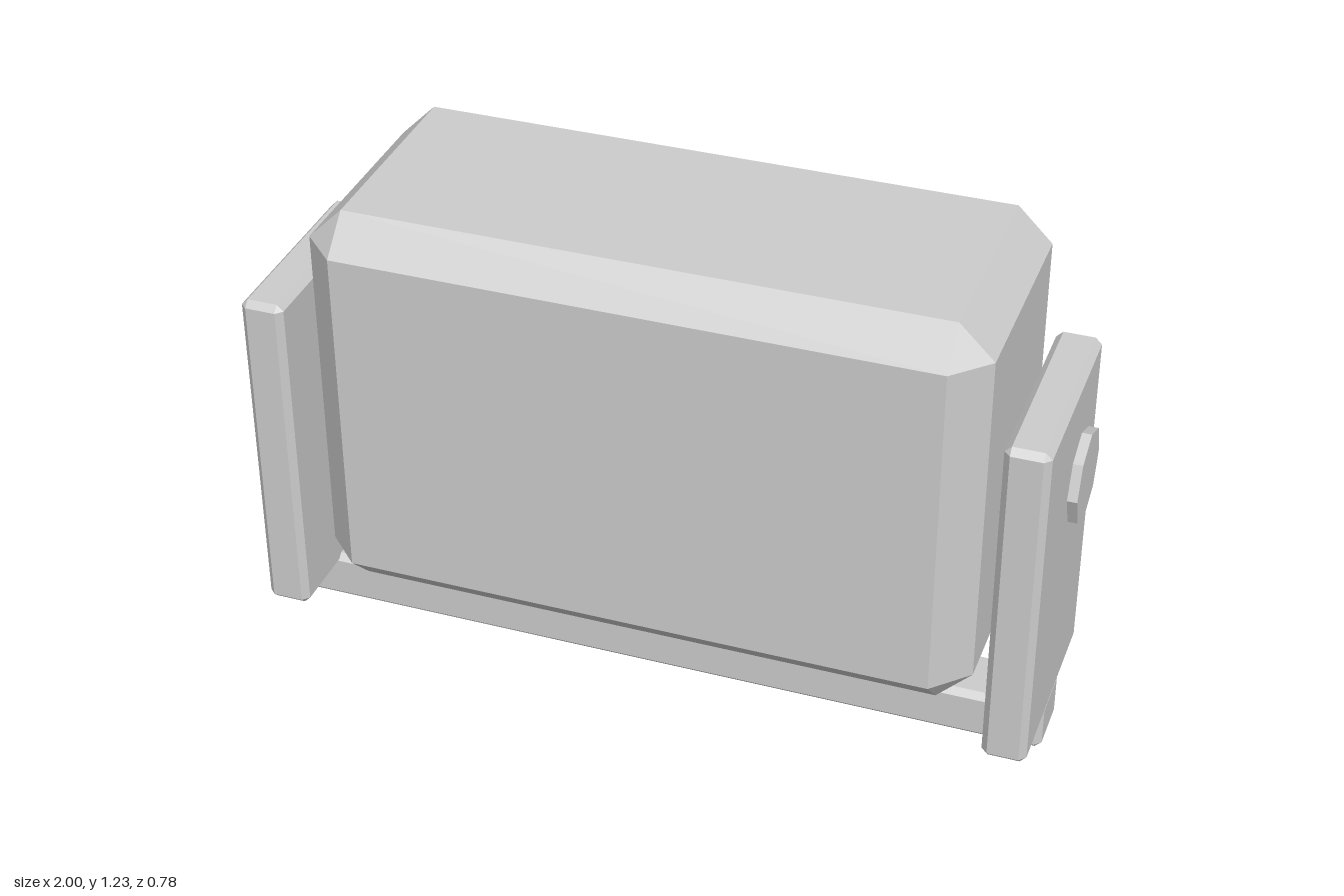
import * as THREE from 'three';
import { ConvexGeometry } from 'three/addons/geometries/ConvexGeometry.js';

// Box between two corners with every edge cut by a flat chamfer c
function chamferBox([x0, y0, z0], [x1, y1, z1], c) {
  const h = [(x1 - x0) / 2, (y1 - y0) / 2, (z1 - z0) / 2];
  const points = [];
  for (const sx of [-1, 1]) for (const sy of [-1, 1]) for (const sz of [-1, 1]) {
    for (let axis = 0; axis < 3; axis++) {
      const p = h.map((v, i) => (i === axis ? v : v - c));
      points.push(new THREE.Vector3(sx * p[0], sy * p[1], sz * p[2]));
    }
  }
  const geometry = new ConvexGeometry(points);
  geometry.translate((x0 + x1) / 2, (y0 + y1) / 2, (z0 + z1) / 2);
  return geometry;
}

export function createModel() {
  const model = new THREE.Group();
  model.name = 'floodlight';
  const grey = new THREE.MeshStandardMaterial({ color: 0xcccccc, flatShading: true });
  grey.name = 'light grey';

  const add = (name, geometry, x = 0, y = 0, z = 0) => {
    const mesh = new THREE.Mesh(geometry, grey);
    mesh.name = name;
    mesh.position.set(x, y, z);
    model.add(mesh);
    return mesh;
  };

  // Lamp housing
  add('housing', chamferBox([-0.82, 0.185, -0.32], [0.82, 1.226, 0.39], 0.086));

  // Lens panel on the back, with its guard bars
  add('lens', chamferBox([-0.7, 0.305, -0.359], [0.7, 1.105, -0.324], 0.017));
  for (const x of [-0.47, 0, 0.47]) {
    add('guardUpright', new THREE.BoxGeometry(0.03, 0.82, 0.03), x, 0.705, -0.374);
  }
  add('guardCrossbar', new THREE.BoxGeometry(1.422, 0.03, 0.03), 0, 0.705, -0.374);

  // Yoke: bottom bar, side plates and octagonal pivot knobs
  add('yokeBar', chamferBox([-0.976, 0, 0.044], [0.976, 0.13, 0.206], 0.016));
  for (const side of [-1, 1]) {
    const xs = [side * 0.868, side * 0.976].sort((a, b) => a - b);
    add('yokePlate', chamferBox([xs[0], 0.102, -0.137], [xs[1], 0.98, 0.39], 0.016));
    const knob = add('pivotKnob', new THREE.CylinderGeometry(0.115, 0.115, 0.155, 8), side * 0.9225, 0.705, 0.037);
    knob.rotation.z = Math.PI / 2;
  }
  return model;
}
